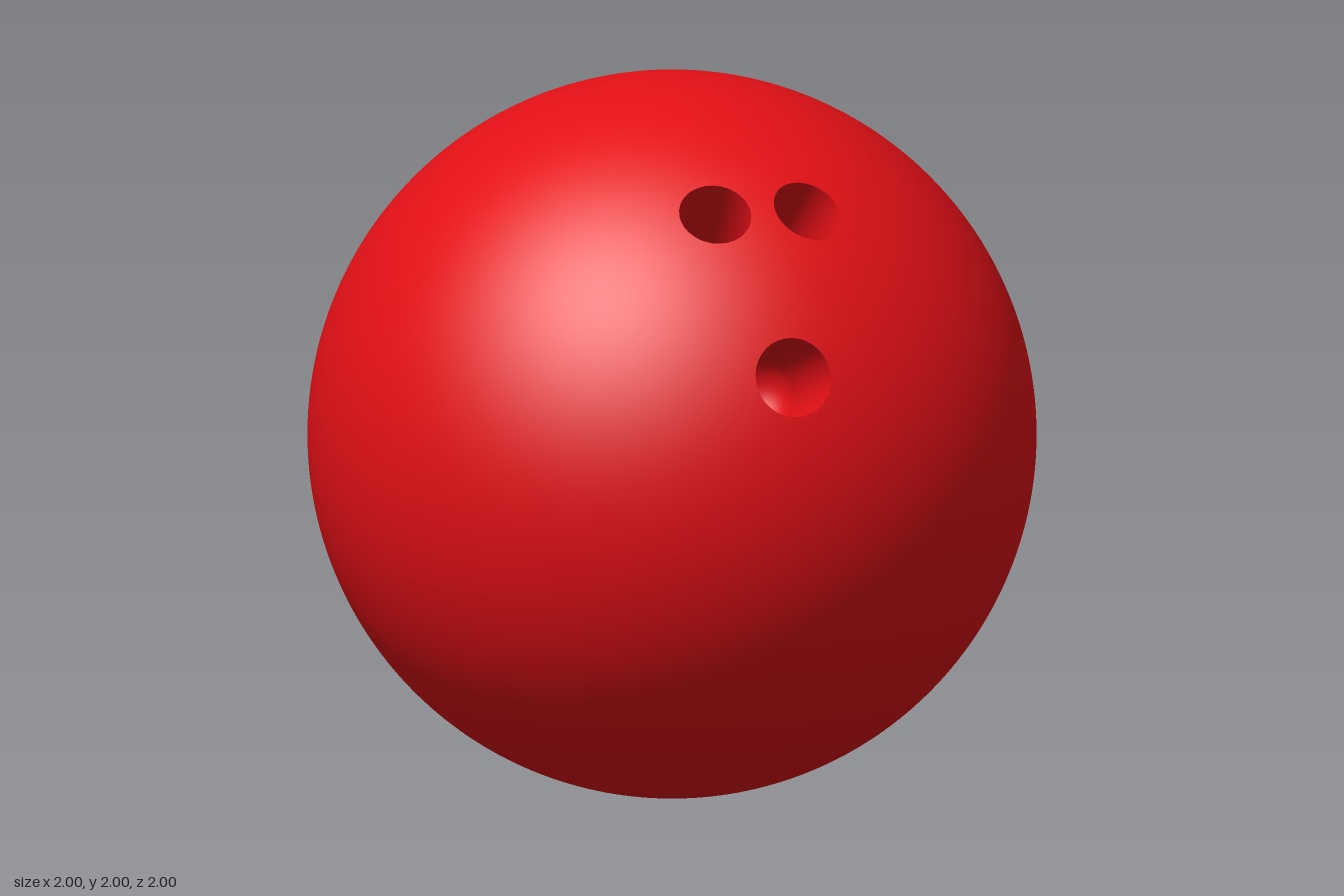
import * as THREE from 'three';

// Finger holes: direction from the ball's centre, radius, depth
const HOLES = [
  { name: 'fingerHoleFront', dir: [0.49, 0.72, 0.49], radius: 0.1, depth: 0.36 },
  { name: 'fingerHoleBack', dir: [0.65, 0.72, 0.27], radius: 0.1, depth: 0.36 },
  { name: 'thumbHole', dir: [0.79, 0.3, 0.54], radius: 0.11, depth: 0.42 },
].map((h) => ({
  ...h,
  axis: new THREE.Vector3(...h.dir).normalize(),
  rimHeight: Math.sqrt(1 - h.radius * h.radius),
}));

// Sphere skin with round openings: triangles inside a hole are dropped,
// corners that reach into a hole are pulled out onto its rim
function shellGeometry() {
  const source = new THREE.IcosahedronGeometry(1, 60).getAttribute('position');
  const points = [];
  for (let i = 0; i < source.count; i += 3) {
    const tri = [0, 1, 2].map((k) => new THREE.Vector3().fromBufferAttribute(source, i + k));
    let dropped = false;
    for (const { axis, radius, rimHeight } of HOLES) {
      const inside = tri.filter((v) => v.dot(axis) > rimHeight);
      if (inside.length === 3) {
        dropped = true;
        break;
      }
      for (const v of inside) {
        v.addScaledVector(axis, -v.dot(axis)).setLength(radius).addScaledVector(axis, rimHeight);
      }
    }
    if (!dropped) tri.forEach((v) => points.push(v.x, v.y, v.z));
  }
  const geometry = new THREE.BufferGeometry();
  geometry.setAttribute('position', new THREE.Float32BufferAttribute(points, 3));
  // On a unit sphere each position is also its normal
  geometry.setAttribute('normal', new THREE.Float32BufferAttribute(points, 3));
  return geometry;
}

// Straight bore with a rounded bottom, along +y
function boreGeometry({ radius, depth, rimHeight }) {
  const profile = [new THREE.Vector2(radius, rimHeight)];
  const bowlTop = rimHeight - depth + radius;
  for (let i = 0; i <= 10; i++) {
    const a = (i / 10) * Math.PI / 2;
    profile.push(new THREE.Vector2(radius * Math.cos(a), bowlTop - radius * Math.sin(a)));
  }
  return new THREE.LatheGeometry(profile, 48);
}

export function createModel() {
  const group = new THREE.Group();
  group.name = 'bowlingBall';
  const color = 0xe31016;

  const shell = new THREE.Mesh(shellGeometry(), new THREE.MeshStandardMaterial({ color }));
  shell.name = 'ballShell';
  shell.position.y = 1;
  group.add(shell);

  const boreMaterial = new THREE.MeshStandardMaterial({ color, side: THREE.DoubleSide });
  const up = new THREE.Vector3(0, 1, 0);
  for (const hole of HOLES) {
    const bore = new THREE.Mesh(boreGeometry(hole), boreMaterial);
    bore.name = hole.name;
    bore.quaternion.setFromUnitVectors(up, hole.axis);
    bore.position.y = 1;
    group.add(bore);
  }
  return group;
}
